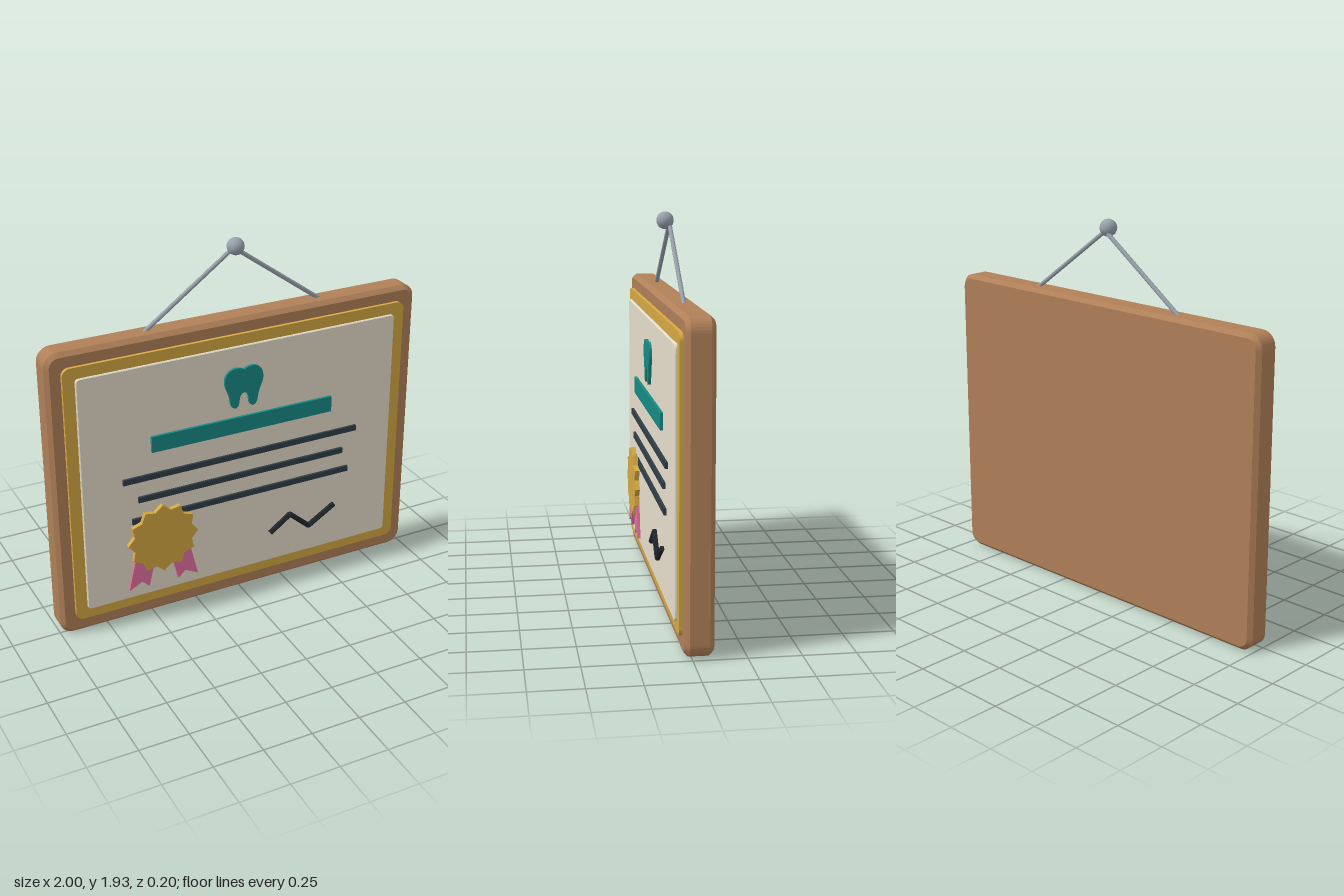
import * as THREE from 'three';

const mat = (color, flatShading = false) => new THREE.MeshStandardMaterial({ color, flatShading });
const WOOD = mat(0xb08058), GOLD = mat(0xd4a843), PAPER = mat(0xe6decb), TEAL = mat(0x178a84);
const INK = mat(0x2f3d47), DARK = mat(0x1f262b, true), PINK = mat(0xe4709f), METAL = mat(0x98a2ac);

function add(parent, name, geometry, material, x = 0, y = 0, z = 0) {
  const mesh = new THREE.Mesh(geometry, material);
  mesh.name = name;
  mesh.position.set(x, y, z);
  parent.add(mesh);
  return mesh;
}

// Rectangle outline with rounded corners
function roundedRect(x0, y0, x1, y1, r) {
  const s = new THREE.Shape();
  s.absarc(x1 - r, y0 + r, r, -Math.PI / 2, 0);
  s.absarc(x1 - r, y1 - r, r, 0, Math.PI / 2);
  s.absarc(x0 + r, y1 - r, r, Math.PI / 2, Math.PI);
  s.absarc(x0 + r, y0 + r, r, Math.PI, Math.PI * 1.5);
  s.closePath();
  return s;
}

// Extrusion filling z0..z1, with an optional chamfer that stays inside the outline
function slab(shape, z0, z1, bevel = 0, curveSegments = 8) {
  const g = new THREE.ExtrudeGeometry(shape, {
    depth: z1 - z0 - 2 * bevel, curveSegments, bevelEnabled: bevel > 0,
    bevelSize: bevel, bevelThickness: bevel, bevelOffset: -bevel, bevelSegments: 1,
  });
  return g.translate(0, 0, z0 + bevel);
}

// Straight round bar between two points
function rod(parent, name, a, b, radius, sides, material) {
  const dir = b.clone().sub(a);
  const mesh = add(parent, name, new THREE.CylinderGeometry(radius, radius, dir.length(), sides), material);
  mesh.position.copy(a).add(b).multiplyScalar(0.5);
  mesh.quaternion.setFromUnitVectors(new THREE.Vector3(0, 1, 0), dir.normalize());
  return mesh;
}

function toothShape() {
  const s = new THREE.Shape();
  s.moveTo(0, 1.287);
  s.bezierCurveTo(0.035, 1.31, 0.105, 1.305, 0.105, 1.235);
  s.bezierCurveTo(0.105, 1.19, 0.08, 1.18, 0.075, 1.12);
  s.bezierCurveTo(0.07, 1.075, 0.03, 1.07, 0.027, 1.115);
  s.bezierCurveTo(0.026, 1.18, -0.026, 1.18, -0.027, 1.115);
  s.bezierCurveTo(-0.03, 1.07, -0.07, 1.075, -0.075, 1.12);
  s.bezierCurveTo(-0.08, 1.18, -0.105, 1.19, -0.105, 1.235);
  s.bezierCurveTo(-0.105, 1.305, -0.035, 1.31, 0, 1.287);
  return s;
}

function starShape(points, outer, inner) {
  const pts = [];
  for (let i = 0; i < points * 2; i++) {
    const a = (i * Math.PI) / points, r = i % 2 ? inner : outer;
    pts.push(new THREE.Vector2(Math.cos(a) * r, Math.sin(a) * r));
  }
  return new THREE.Shape(pts);
}

export function createModel() {
  const model = new THREE.Group();
  model.name = 'framedCertificate';

  // Layered frame, gold mat and paper
  add(model, 'woodFrame', slab(roundedRect(-1, 0, 1, 1.54, 0.07), -0.1, 0.035, 0.021, 4), WOOD);
  add(model, 'goldMat', slab(roundedRect(-0.925, 0.083, 0.925, 1.465, 0.04), 0.02, 0.052), GOLD);
  add(model, 'paper', slab(roundedRect(-0.865, 0.137, 0.865, 1.407, 0.02), 0.04, 0.064, 0.004), PAPER);

  // Printed emblem, title bar and text lines
  add(model, 'toothEmblem', slab(toothShape(), 0.06, 0.079), TEAL);
  add(model, 'titleBar', new THREE.BoxGeometry(1, 0.085, 0.017), TEAL, 0, 0.988, 0.07);
  for (const [halfWidth, y] of [[0.655, 0.814], [0.577, 0.699], [0.613, 0.583]])
    add(model, 'textLine', new THREE.BoxGeometry(halfWidth * 2, 0.03, 0.015), INK, 0, y, 0.07);

  // Zigzag signature
  const signature = new THREE.Group();
  signature.name = 'signature';
  model.add(signature);
  const stroke = [[0.155, 0.31], [0.272, 0.393], [0.385, 0.293], [0.537, 0.386]]
    .map(([x, y]) => new THREE.Vector3(x, y, 0.075));
  for (let i = 0; i < 3; i++) {
    rod(signature, 'signatureStroke', stroke[i], stroke[i + 1], 0.0145, 6, DARK);
    if (i) add(signature, 'signatureJoint', new THREE.SphereGeometry(0.0135, 8, 6), DARK, ...stroke[i].toArray());
  }

  // Award seal with two notched ribbon tails
  const seal = new THREE.Group();
  seal.name = 'awardSeal';
  seal.position.set(-0.462, 0.465, 0);
  model.add(seal);
  add(seal, 'rosette', slab(starShape(12, 0.19, 0.16), 0.079, 0.103), GOLD);
  for (const side of [-1, 1]) {
    const tail = [[0.03, -0.05], [0.14, -0.05], [0.19, -0.265], [0.119, -0.228], [0.08, -0.265]];
    const shape = new THREE.Shape(tail.map(([x, y]) => new THREE.Vector2(side * x, y)));
    add(seal, 'ribbonTail', slab(shape, 0.077, 0.093), PINK);
  }

  // Hanging wire and nail head
  for (const side of [-1, 1])
    rod(model, 'hangingWire', new THREE.Vector3(side * 0.485, 1.525, -0.036),
      new THREE.Vector3(0, 1.877, -0.036), 0.011, 8, METAL);
  add(model, 'nailHead', new THREE.SphereGeometry(0.043, 24, 16), METAL, 0, 1.89, -0.015);

  return model;
}
